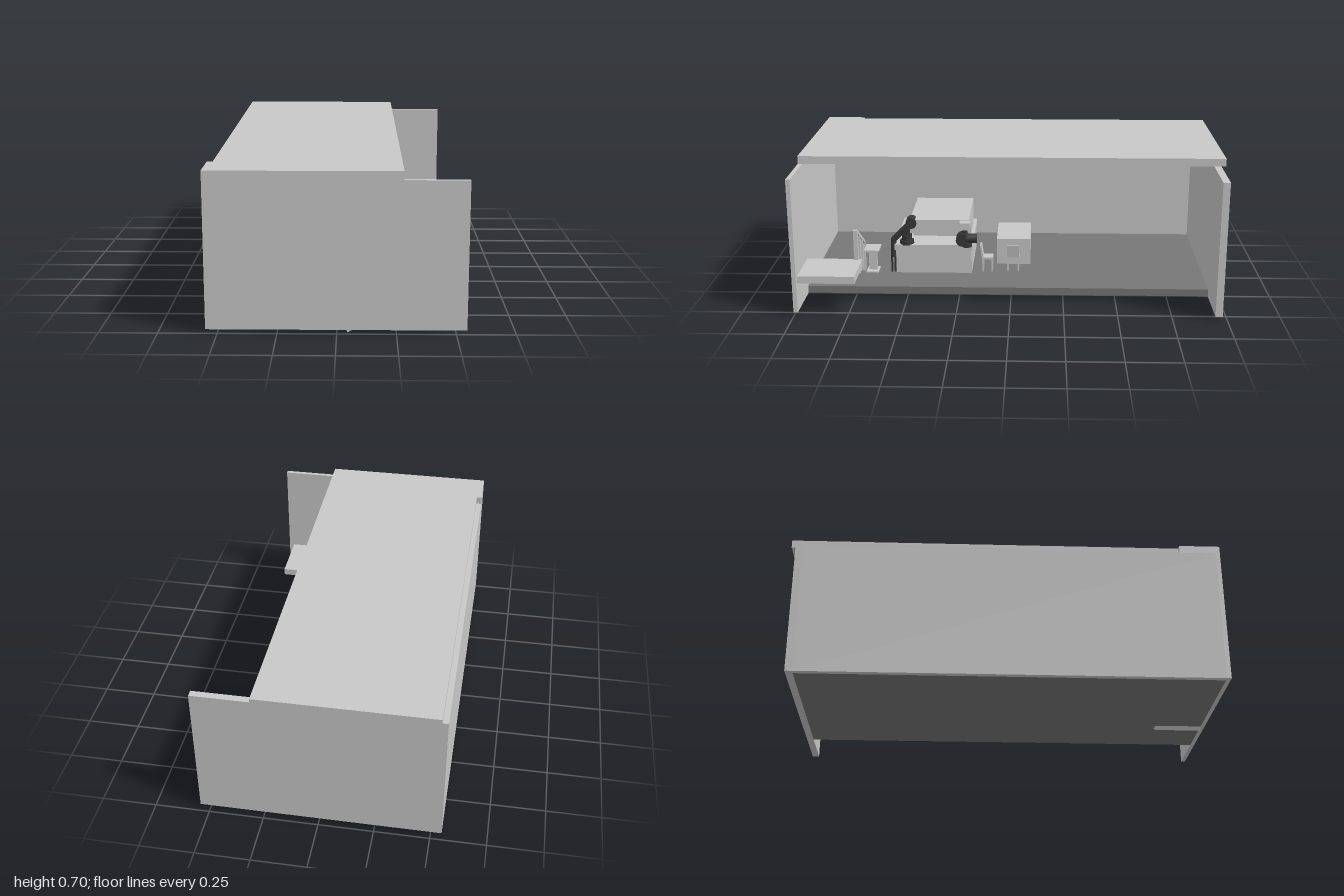
import * as THREE from 'three';

export function createModel() {
  const model = new THREE.Group();
  const mat = (name, color) => Object.assign(new THREE.MeshStandardMaterial({ color }), { name });
  const light = mat('light grey', 0xc8c8c8);
  const grey = mat('floor grey', 0x777777);
  const dark = mat('machine dark', 0x383838);

  const add = (name, geometry, material, parent = model) => {
    const mesh = new THREE.Mesh(geometry, material);
    mesh.name = name;
    parent.add(mesh);
    return mesh;
  };
  // box given by its limits on each axis
  const box = (name, x0, x1, y0, y1, z0, z1, material = light, parent = model) => {
    const mesh = add(name, new THREE.BoxGeometry(x1 - x0, y1 - y0, z1 - z0), material, parent);
    mesh.position.set((x0 + x1) / 2, (y0 + y1) / 2, (z0 + z1) / 2);
    return mesh;
  };
  // round bar between two points
  const bar = (name, a, b, r, material, parent = model) => {
    const p = new THREE.Vector3(...a), q = new THREE.Vector3(...b);
    const mesh = add(name, new THREE.CylinderGeometry(r, r, p.distanceTo(q), 16), material, parent);
    mesh.position.copy(p).add(q).multiplyScalar(0.5);
    mesh.quaternion.setFromUnitVectors(new THREE.Vector3(0, 1, 0), q.sub(p).normalize());
    return mesh;
  };
  const group = (name) => {
    const g = new THREE.Group();
    g.name = name;
    model.add(g);
    return g;
  };

  // building shell
  box('floor', -0.525, 0.295, 0.02, 0.055, -0.945, 0.98, grey);
  box('frontWall', -0.55, 0.545, 0.02, 0.66, 0.98, 1);
  box('backWall', -0.55, 0.545, 0.02, 0.66, -0.978, -0.945);
  box('sideWall', -0.55, -0.525, 0.02, 0.66, -0.945, 0.98);

  // roof, wider at the front corner
  const roofShape = new THREE.Shape([
    [-0.525, 1], [0.275, 1], [0.275, -1], [-0.55, -1], [-0.55, -0.81], [-0.525, -0.81],
  ].map(([x, y]) => new THREE.Vector2(x, y)));
  const roof = add('roof', new THREE.ExtrudeGeometry(roofShape, { depth: 0.037, bevelEnabled: false }), light);
  roof.rotation.x = -Math.PI / 2;
  roof.position.y = 0.66;

  // platform and the stairs leading up to it
  box('platform', 0.28, 0.52, 0.155, 0.19, 0.715, 0.98);
  const steps = 6, rise = 0.0225, run = 0.0375;
  const stairs = new THREE.Shape();
  stairs.moveTo(0.046, 0.002);
  stairs.lineTo(0.28, 0.152);
  stairs.lineTo(0.28, 0.19);
  for (let i = 0; i < steps; i++) {
    stairs.lineTo(0.28 - i * run, 0.19 - (i + 1) * rise);
    stairs.lineTo(0.28 - (i + 1) * run, 0.19 - (i + 1) * rise);
  }
  stairs.lineTo(0.034, 0.022);
  const flight = add('stairs', new THREE.ExtrudeGeometry(stairs, { depth: 0.225, bevelEnabled: false }), light);
  flight.position.z = 0.755;

  // stair railing
  const railing = group('railing');
  for (let i = 0; i < 4; i++) {
    const x = 0.285 - i * 0.072, top = 0.335 - i * 0.043;
    box('railPost', x - 0.008, x + 0.008, top - 0.155, top, 0.732, 0.752, light, railing);
  }
  const rail = box('handrail', -0.126, 0.126, -0.007, 0.007, -0.01, 0.01, light, railing);
  rail.position.set(0.177, 0.268, 0.742);
  rail.rotation.z = Math.atan2(0.043, 0.072);

  // side table by the stairs
  const table = group('sideTable');
  box('tableTop', 0.02, 0.12, 0.165, 0.175, 0.66, 0.735, light, table);
  box('tableStem', 0.06, 0.08, 0.06, 0.165, 0.675, 0.715, light, table);
  box('tableFoot', 0.03, 0.11, 0.055, 0.062, 0.665, 0.725, light, table);

  // work counter with an overhanging top and a cabinet above
  const counter = group('counter');
  box('counterBase', -0.3, 0.1, 0.055, 0.18, 0.2, 0.575, light, counter);
  box('counterTop', -0.31, 0.12, 0.18, 0.208, 0.195, 0.58, light, counter);
  box('cabinetBack', -0.25, -0.02, 0.208, 0.27, 0.21, 0.5, light, counter);
  box('cabinet', -0.25, 0.12, 0.27, 0.338, 0.21, 0.5, light, counter);

  // jointed machine with a lowered tool beside the counter
  const arm = group('jointedArm');
  bar('armBase', [0.09, 0.205, 0.52], [0.09, 0.225, 0.52], 0.035, dark, arm);
  bar('armTurret', [0.09, 0.22, 0.52], [0.09, 0.27, 0.52], 0.025, dark, arm);
  bar('upperArm', [0.1, 0.25, 0.53], [0.1, 0.32, 0.495], 0.018, dark, arm);
  bar('elbow', [0.07, 0.32, 0.495], [0.13, 0.32, 0.495], 0.027, dark, arm);
  bar('foreArm', [0.1, 0.32, 0.495], [0.1, 0.23, 0.585], 0.015, dark, arm);
  bar('wrist', [0.1, 0.235, 0.585], [0.1, 0.14, 0.59], 0.013, dark, arm);
  for (const s of [-1, 1]) {
    box('toolFinger', 0.097, 0.11, 0.062, 0.145, 0.588 + s * 0.008 - 0.004, 0.588 + s * 0.008 + 0.004, dark, arm);
  }

  // small machine at the other end
  const small = group('smallMachine');
  bar('machineBase', [0.14, 0.21, 0.22], [0.14, 0.24, 0.22], 0.025, dark, small);
  bar('machineBody', [0.12, 0.25, 0.24], [0.17, 0.25, 0.24], 0.033, dark, small);
  bar('machineHead', [0.15, 0.255, 0.225], [0.15, 0.255, 0.17], 0.024, dark, small);
  bar('machineNeck', [0.14, 0.26, 0.23], [0.14, 0.32, 0.23], 0.014, dark, small);
  box('machineCap', 0.12, 0.16, 0.298, 0.335, 0.205, 0.255, light, small);

  // desk
  const desk = group('desk');
  box('deskTop', -0.3, -0.03, 0.18, 0.19, -0.09, 0.08, light, desk);
  box('deskPanel', -0.05, -0.035, 0.055, 0.18, -0.09, 0.08, light, desk);
  for (const z of [-0.09, 0.068]) box('deskSide', -0.3, -0.05, 0.055, 0.18, z, z + 0.012, light, desk);

  // chairs
  const chair = (x, z, turn) => {
    const g = group('chair');
    box('seat', -0.03, 0.03, 0.065, 0.075, -0.03, 0.025, light, g);
    for (const sx of [-0.026, 0.026]) for (const sz of [-0.025, 0.02]) {
      box('chairLeg', sx - 0.004, sx + 0.004, 0, 0.065, sz - 0.004, sz + 0.004, light, g);
    }
    const back = box('chairBack', -0.03, 0.03, 0.07, 0.135, 0.022, 0.03, light, g);
    back.rotation.x = 0.14;
    g.position.set(x, 0.055, z);
    g.rotation.y = turn;
  };
  chair(0.05, 0.125, 0);
  chair(0.04, -0.005, Math.PI / 2);

  return model;
}
